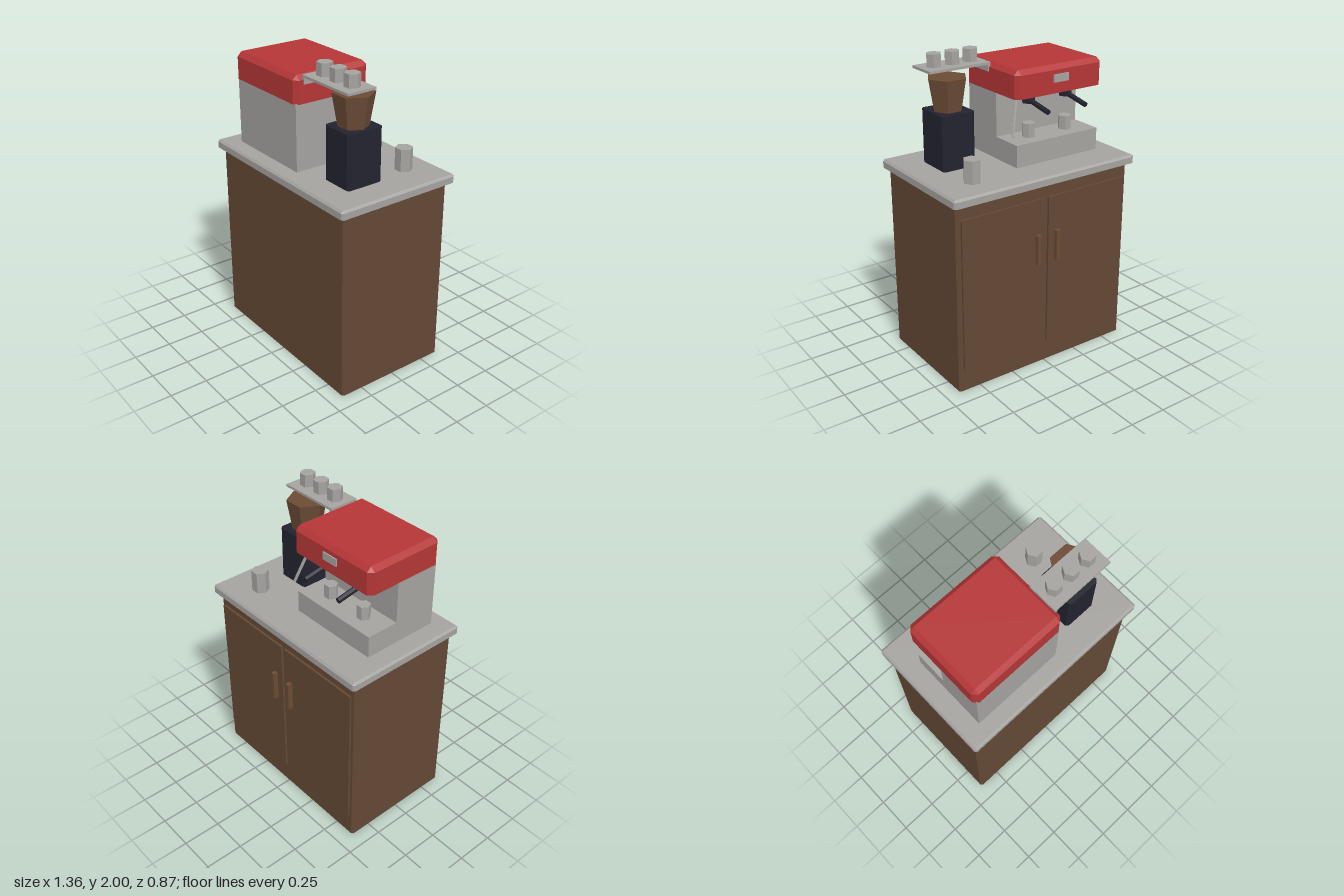
import * as THREE from 'three';
import { ConvexGeometry } from 'three/addons/geometries/ConvexGeometry.js';

const mat = (name, color) => {
  const m = new THREE.MeshStandardMaterial({ color, flatShading: true });
  m.name = name;
  return m;
};

export function createModel() {
  const wood = mat('dark wood', 0x634834);
  const warm = mat('warm brown', 0x6b4b35);
  const grey = mat('steel grey', 0xa5a3a0);
  const red = mat('enamel red', 0xb53637);
  const dark = mat('dark plastic', 0x23232f);

  const model = new THREE.Group();
  const add = (name, geometry, material) => {
    const mesh = new THREE.Mesh(geometry, material);
    mesh.name = name;
    model.add(mesh);
    return mesh;
  };

  // Plain box given by its limits
  const box = (name, m, x0, x1, y0, y1, z0, z1) =>
    add(name, new THREE.BoxGeometry(x1 - x0, y1 - y0, z1 - z0), m)
      .position.set((x0 + x1) / 2, (y0 + y1) / 2, (z0 + z1) / 2);

  // Box with chamfered upright edges and, if topped, a chamfered top rim
  const chamferBox = (name, m, x0, x1, y0, y1, z0, z1, c, topped) => {
    const cx = (x0 + x1) / 2, cz = (z0 + z1) / 2;
    const hx = (x1 - x0) / 2, hz = (z1 - z0) / 2;
    const pts = [];
    for (const sx of [-1, 1]) for (const sz of [-1, 1]) {
      for (const y of [y0, topped ? y1 - c : y1]) {
        pts.push(new THREE.Vector3(cx + sx * (hx - c), y, cz + sz * hz));
        pts.push(new THREE.Vector3(cx + sx * hx, y, cz + sz * (hz - c)));
      }
      if (topped) pts.push(new THREE.Vector3(cx + sx * (hx - c), y1, cz + sz * (hz - c)));
    }
    add(name, new ConvexGeometry(pts), m);
  };

  // Upright six-sided prism with corners pointing along x
  const hex = (name, m, x, z, y0, y1, rTop, rBottom = rTop) =>
    add(name, new THREE.CylinderGeometry(rTop, rBottom, y1 - y0, 6, 1, false, Math.PI / 6), m)
      .position.set(x, (y0 + y1) / 2, z);

  // Six-sided rod between two points
  const rod = (name, m, a, b, r) => {
    const p = new THREE.Vector3(...a), q = new THREE.Vector3(...b);
    const mesh = add(name, new THREE.CylinderGeometry(r, r, p.distanceTo(q), 6), m);
    mesh.position.copy(p).add(q).multiplyScalar(0.5);
    mesh.quaternion.setFromUnitVectors(new THREE.Vector3(0, 1, 0), q.sub(p).normalize());
  };

  // Cabinet and worktop
  chamferBox('cabinet', wood, -0.65, 0.65, 0, 1.25, -0.39, 0.4, 0.012, false);
  chamferBox('worktop', grey, -0.68, 0.68, 1.25, 1.305, -0.43, 0.435, 0.013, true);

  // Pair of doors with upright handles
  for (const s of [-1, 1]) {
    const [a, b] = s < 0 ? [-0.62, -0.012] : [0.012, 0.62];
    box('door', wood, a, b, 0.15, 1.16, -0.405, -0.38);
    chamferBox('doorHandle', warm, s * 0.073 - 0.015, s * 0.073 + 0.015, 0.73, 0.93, -0.436, -0.4, 0.006, false);
  }

  // Espresso machine: base, column, red head and badge
  box('machineBase', grey, -0.55, 0.085, 1.305, 1.45, -0.2, 0.325);
  box('machineColumn', grey, -0.55, 0.085, 1.45, 1.745, 0.02, 0.325);
  chamferBox('machineHead', red, -0.566, 0.098, 1.74, 1.917, -0.216, 0.334, 0.03, true);
  box('badge', grey, -0.29, -0.176, 1.81, 1.86, -0.224, -0.215);

  // Brew groups with handles, each above a cup
  for (const x of [-0.378, -0.088]) {
    hex('brewGroup', dark, x, -0.082, 1.67, 1.745, 0.043);
    rod('brewHandle', dark, [x, 1.69, -0.08], [x, 1.653, -0.284], 0.018);
    hex('cup', grey, x, -0.082, 1.45, 1.54, 0.043);
  }

  // Steam wand and milk jug
  rod('steamWand', grey, [0.045, 1.745, -0.135], [0.115, 1.51, -0.2], 0.01);
  hex('milkJug', grey, 0.432, -0.23, 1.305, 1.45, 0.056);

  // Grinder with bean hopper
  chamferBox('grinder', dark, 0.26, 0.49, 1.305, 1.655, -0.01, 0.246, 0.015, false);
  hex('beanHopper', warm, 0.375, 0.12, 1.655, 1.86, 0.13, 0.095);

  // Cup shelf fixed to the head
  box('cupShelf', grey, 0.087, 0.52, 1.902, 1.918, 0.075, 0.277);
  box('shelfBracket', grey, 0.087, 0.105, 1.86, 1.902, 0.075, 0.277);
  for (const x of [0.172, 0.301, 0.43]) hex('shelfCup', grey, x, 0.176, 1.918, 2, 0.05);

  return model;
}
